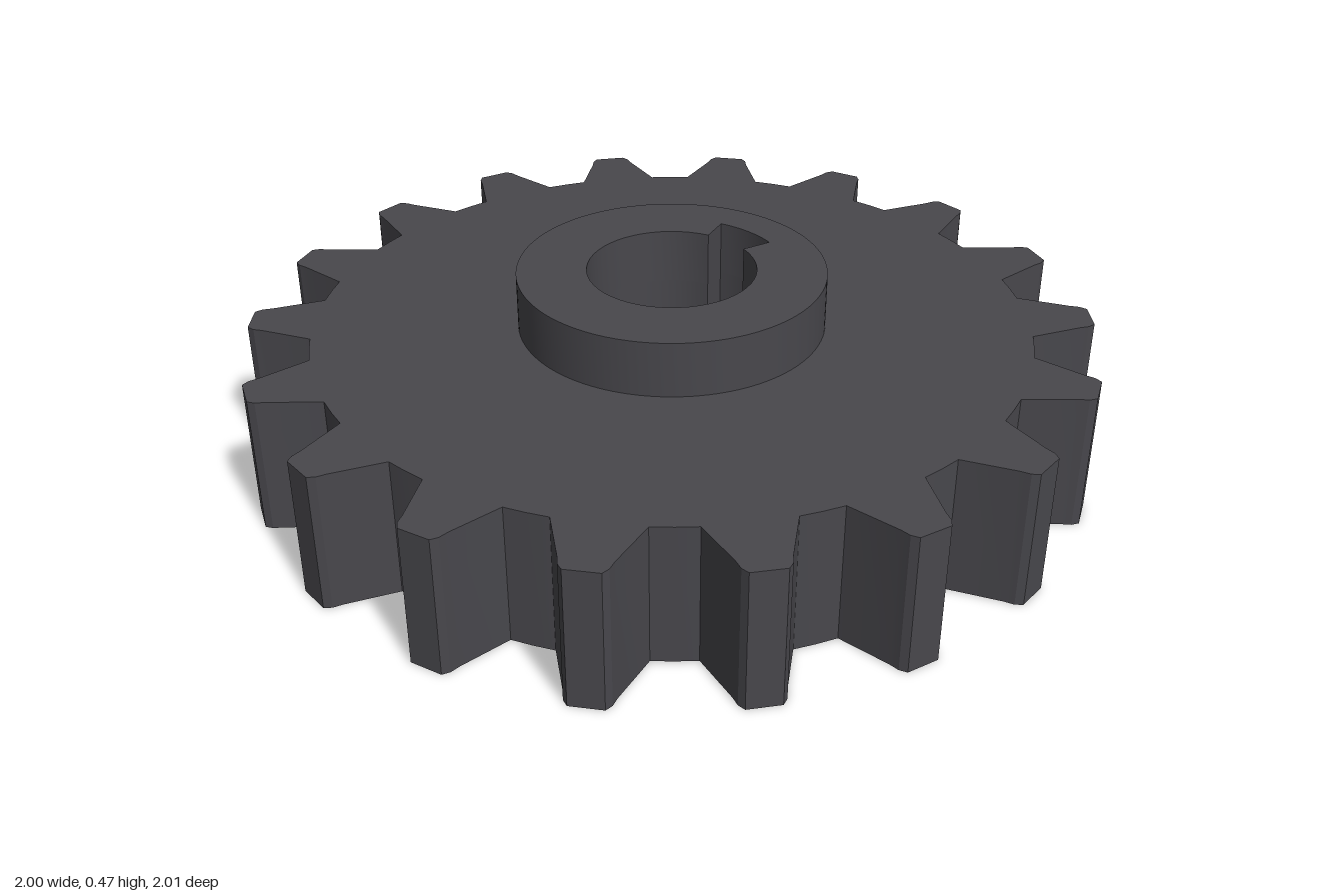
import * as THREE from 'three';
import { toCreasedNormals } from 'three/addons/utils/BufferGeometryUtils.js';

const TEETH = 18;
const FACE_HEIGHT = 0.333;
const HUB_HEIGHT = 0.134;
const BORE_RADIUS = 0.2;
const rad = THREE.MathUtils.degToRad;
const polar = (r, deg) => new THREE.Vector2(r * Math.cos(rad(deg)), r * Math.sin(rad(deg)));

// Gear outline: each tooth is a mirrored half profile of [half angle, radius]
function gearShape() {
  const half = [[6.6, 0.85], [3.3, 0.965], [2.9, 0.988], [2.2, 1.003]];
  const points = [];
  for (let i = 0; i < TEETH; i++) {
    const centre = 93.5 + (i * 360) / TEETH;
    for (const [a, r] of half) points.push(polar(r, centre - a));
    for (const [a, r] of [...half].reverse()) points.push(polar(r, centre + a));
    points.push(polar(0.85, centre + 180 / TEETH)); // middle of the root
  }
  return new THREE.Shape(points);
}

// Round bore with a radial-sided keyway towards +x
function boreHole() {
  const points = [];
  const key = 16.5;
  for (let i = 0; i <= 48; i++) points.push(polar(BORE_RADIUS, key + ((360 - 2 * key) * i) / 48));
  for (let i = 0; i <= 6; i++) points.push(polar(0.274, -key + (2 * key * i) / 6));
  return new THREE.Path(points);
}

// Extrude a bored outline upwards from the given height
function boredPlate(name, shape, base, height, material) {
  shape.holes.push(boreHole());
  const extruded = new THREE.ExtrudeGeometry(shape, { depth: height, bevelEnabled: false, curveSegments: 64 });
  extruded.rotateX(-Math.PI / 2);
  const mesh = new THREE.Mesh(toCreasedNormals(extruded, rad(14)), material);
  mesh.name = name;
  mesh.position.y = base;
  return mesh;
}

export function createModel() {
  const steel = new THREE.MeshStandardMaterial({ color: 0x48474c });
  steel.name = 'dark steel';

  const model = new THREE.Group();
  model.name = 'spurGear';
  model.add(boredPlate('toothedWheel', gearShape(), 0, FACE_HEIGHT, steel));

  // Raised hub around the bore
  const hubShape = new THREE.Shape().absarc(0, 0, 0.365, 0, Math.PI * 2, false);
  model.add(boredPlate('hub', hubShape, FACE_HEIGHT, HUB_HEIGHT, steel));
  return model;
}
